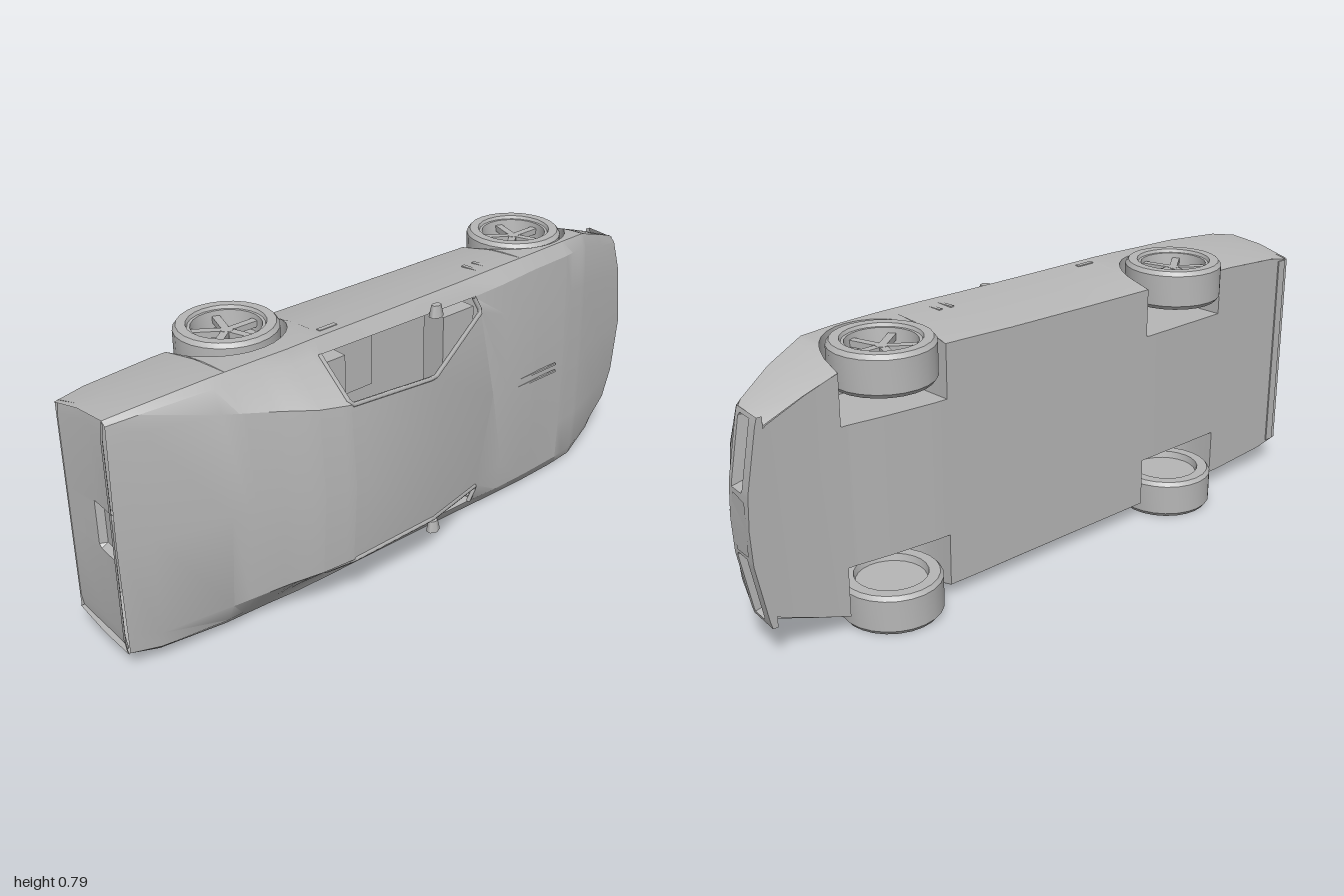
import * as THREE from 'three';
import { toCreasedNormals } from 'three/addons/utils/BufferGeometryUtils.js';

const paint = new THREE.MeshStandardMaterial({ color: 0xb6b6b6, side: THREE.DoubleSide });
paint.name = 'plain grey';

// The car lies on its side: nose to +x, roof to +z, width along y.
const AXIS = 0.395;
const WHEELS = [{ x: -0.495, z: -0.122, arch: 0.16 }, { x: 0.565, z: -0.083, arch: 0.157 }];
const WELL = 0.2; // half width of the floor between the wheel wells

// x, bow, shoulder w/z, belt w/z, roof edge w/z, centre z, sill z
const STATIONS = [
  [-0.985, -0.012, .345, .045, .335, .06, .27, .065, .07, -.176],
  [-0.9, -0.008, .36, .065, .345, .08, .3, .085, .097, -.176],
  [-0.7, 0, .373, .08, .35, .1, .29, .128, .15, -.175],
  [-0.55, 0, .376, .085, .345, .106, .265, .178, .202, -.174],
  [-0.46, 0, .378, .09, .34, .11, .25, .215, .233, -.173],
  [-0.37, 0, .38, .09, .34, .112, .24, .235, .253, -.172],
  [-0.1, .03, .382, .09, .34, .116, .225, .246, .262, -.165],
  [.165, .11, .385, .09, .34, .12, .29, .128, .13, -.157],
  [.3, .03, .388, .09, .345, .122, .25, .13, .135, -.152],
  [.45, 0, .39, .09, .35, .115, .22, .124, .13, -.145],
  [.6, 0, .39, .085, .35, .108, .22, .113, .117, -.128],
  [.7, 0, .387, .078, .35, .092, .22, .098, .101, -.112],
  [.82, .01, .345, .05, .31, .06, .2, .068, .072, -.105],
  [.93, .04, .3, .005, .28, .02, .18, .03, .035, -.103],
  [.945, .045, .29, -.005, .28, 0, .18, 0, 0, -.103]
];

function station(x) {
  let i = 0;
  while (i < STATIONS.length - 2 && x > STATIONS[i + 1][0]) i++;
  const a = STATIONS[i], b = STATIONS[i + 1];
  const t = (x - a[0]) / (b[0] - a[0]);
  return a.map((v, k) => v + (b[k] - v) * t);
}

function sillHeight(x) {
  let z = station(x)[9];
  for (const w of WHEELS) {
    const d = x - w.x;
    if (Math.abs(d) <= w.arch) z = Math.max(z, w.z + Math.sqrt(w.arch ** 2 - d * d));
  }
  return z;
}

// Half cross-section: sill, flank, shoulder, belt, roof edge, centre
function halfSection(x) {
  const [, bow, wS, zS, wB, zB, wR, zR, zC, zBot] = station(x);
  const sill = Math.min(sillHeight(x), zS - 0.004), mid = (sill + zS) / 2;
  const side = z => wS - 0.035 * ((zS - z) / (zS - zBot)) ** 2;
  return [[side(sill), sill], [side(mid), mid], [wS, zS], [wB, zB], [wR, zR], [0, zC]]
    .map(([y, z]) => new THREE.Vector3(x + bow * (1 - Math.min(1, y / wS) ** 2), y, z));
}

const mirrored = p => new THREE.Vector3(p.x, -p.y, p.z);

// Surface through rows of points; skip(i, j) leaves a cell open
function surface(rows, skip = () => false, crease = 0.45) {
  const pts = [];
  for (let i = 0; i < rows.length - 1; i++) {
    for (let j = 0; j < rows[i].length - 1; j++) {
      if (skip(i, j)) continue;
      const a = rows[i][j], b = rows[i + 1][j], c = rows[i + 1][j + 1], d = rows[i][j + 1];
      pts.push(a, b, c, a, c, d);
    }
  }
  return toCreasedNormals(new THREE.BufferGeometry().setFromPoints(pts), crease);
}

export function createModel() {
  const model = new THREE.Group();
  const car = new THREE.Group();
  car.name = 'car';
  car.position.y = AXIS;
  model.add(car);
  const add = (name, geometry, x = 0, y = 0, z = 0, parent = car) => {
    const mesh = new THREE.Mesh(geometry, paint);
    mesh.name = name;
    mesh.position.set(x, y, z);
    parent.add(mesh);
    return mesh;
  };
  const V = (x, y, z) => new THREE.Vector3(x, y, z);

  // Body shell with arched sills and open side windows
  const xs = STATIONS.map(s => s[0]);
  for (const w of WHEELS) {
    xs.push(w.x - w.arch - 0.001, w.x + w.arch + 0.001);
    for (let k = 0; k <= 14; k++) xs.push(w.x - w.arch * Math.cos(Math.PI * k / 14));
  }
  xs.sort((a, b) => a - b);
  const sections = xs.map(x => {
    const h = halfSection(x);
    return [...h, ...h.slice(0, 5).reverse().map(mirrored)];
  });
  add('bodyShell', surface(sections, (i, j) => {
    const m = (xs[i] + xs[i + 1]) / 2;
    return (j === 3 || j === 6) && m > -0.37 && m < 0.165;
  }));

  // Floor pan, notched at the wheels
  const inWell = x => WHEELS.some(w => Math.abs(x - w.x) <= w.arch + 1e-6);
  add('floorPan', surface(xs.map((x, i) => {
    const z = station(x)[9], y = inWell(x) ? WELL : sections[i][0].y;
    return [V(x, -y, z), V(x, y, z)];
  })));

  // Wheel wells: arched liner and inner wall
  for (const s of [1, -1]) {
    for (const w of WHEELS) {
      const wellXs = xs.filter(x => Math.abs(x - w.x) <= w.arch + 0.002);
      add('wheelWell', surface(wellXs.map(x => {
        const top = halfSection(x)[0];
        return [V(x, s * top.y, top.z), V(x, s * WELL, top.z), V(x, s * WELL, station(x)[9])];
      })));
    }
  }

  // Nose fascia with two recessed lamp openings
  const noseX = (y, z) => 0.945 + 0.045 * (1 - (y / 0.29) ** 2) - z * 0.1;
  const ny = [-.29, -.278, -.268, -.1, -.09, 0, .09, .1, .268, .278, .29];
  const nz = [0, -.014, -.02, -.064, -.07, -.103];
  add('noseFascia', surface(nz.map((z, i) => ny.map((y, j) => {
    const deep = (i === 2 || i === 3) && [2, 3, 7, 8].includes(j);
    return V(noseX(y, z) - (deep ? 0.035 : 0), y, z);
  })), undefined, 0.3));
  add('noseUnderside', surface(ny.map(y => [V(0.94, y, -.103), V(noseX(y, -.103), y, -.103)])));
  // Raised centre panel between the lamps
  add('noseCentrePanel', surface([[V(.987, 0, .004), V(.987, 0, .004)], [V(.99, -.08, -.022), V(.99, .08, -.022)],
    [V(.999, -.075, -.088), V(.999, .075, -.088)]]));

  // Tail panel, dished, with a recess in the middle
  const ty = [-.34, -.3, -.07, -.06, .06, .07, .3, .34];
  const tz = [.06, .04, .03, -.05, -.06, -.176];
  const tailX = [-.995, -.99, -.978, -.972, -.972, -.982];
  add('tailPanel', surface(tz.map((z, i) => ty.map((y, j) =>
    V(tailX[i] + ((i === 2 || i === 3) && (j === 3 || j === 4) ? 0.02 : 0) + (Math.abs(y) > .33 ? .006 : 0),
      y * (z < -.1 ? .92 : 1), z))), undefined, 0.3));
  add('rearValance', new THREE.BoxGeometry(0.03, 0.62, 0.012), -0.955, 0, -0.174);

  // Cabin interior
  add('cabinFloor', new THREE.BoxGeometry(0.62, 0.62, 0.01), -0.08, 0, -0.1);
  add('rearBulkhead', new THREE.BoxGeometry(0.01, 0.64, 0.2), -0.38, 0, 0);
  add('dashboard', new THREE.BoxGeometry(0.12, 0.6, 0.08), 0.15, 0, 0.06);

  // Paired details on both flanks
  for (const s of [1, -1]) {
    const flip = p => V(p.x, p.y * s, p.z);
    const rail = new THREE.CurvePath();
    const path = [-0.37, -0.1, 0.165].map(x => flip(halfSection(x)[4]));
    path.unshift(flip(halfSection(-0.37)[3]));
    path.push(flip(halfSection(0.165)[3]));
    for (let i = 0; i < path.length - 1; i++) rail.add(new THREE.LineCurve3(path[i], path[i + 1]));
    add('windowFrame', new THREE.TubeGeometry(rail, 40, 0.007, 5));
    add('seatBack', new THREE.BoxGeometry(0.09, 0.2, 0.19), -0.315, s * 0.2, 0);
    add('seatCushion', new THREE.BoxGeometry(0.22, 0.2, 0.07), -0.18, s * 0.2, -0.06);
    const mirror = add('doorMirror', new THREE.CylinderGeometry(0.012, 0.018, 0.035, 6), 0.03, s * 0.352, 0.132);
    mirror.scale.x = 1.3;
    add('doorHandle', new THREE.BoxGeometry(0.06, 0.006, 0.014), -0.3, s * 0.378, 0.058);
    for (const x of [0.26, 0.3]) {
      const vent = add('fenderVent', new THREE.BoxGeometry(0.012, 0.006, 0.075), x, s * 0.382, 0.045);
      vent.rotation.y = 0.1;
    }
    add('bonnetSlot', new THREE.BoxGeometry(0.2, 0.006, 0.006), 0.45, s * 0.012, 0.13);
  }

  // Wheels: tyre and dished rim in one lathe, then spokes and hub
  const profile = [[0, .02], [.098, .02], [.103, 0], [.134, 0], [.143, .012], [.143, .103], [.134, .115],
    [.108, .115], [.104, .106], [.096, .106], [.09, .06], [0, .055]].map(p => new THREE.Vector2(...p));
  const tyre = toCreasedNormals(new THREE.LatheGeometry(profile, 24), 0.5);
  for (const w of WHEELS) {
    for (const s of [1, -1]) {
      const wheel = new THREE.Group();
      wheel.name = w.x > 0 ? 'frontWheel' : 'rearWheel';
      wheel.position.set(w.x, s * 0.28, w.z);
      if (s < 0) wheel.rotation.x = Math.PI;
      car.add(wheel);
      add('tyreAndRim', tyre, 0, 0, 0, wheel);
      add('hub', new THREE.CylinderGeometry(0.018, 0.024, 0.035, 10), 0, 0.075, 0, wheel);
      for (let k = 0; k < 5; k++) {
        const a = k * Math.PI * 2 / 5;
        const spoke = add('spoke', new THREE.BoxGeometry(0.078, 0.018, 0.022),
          Math.cos(a) * 0.055, 0.083, -Math.sin(a) * 0.055, wheel);
        spoke.rotation.y = a;
      }
    }
  }
  return model;
}
